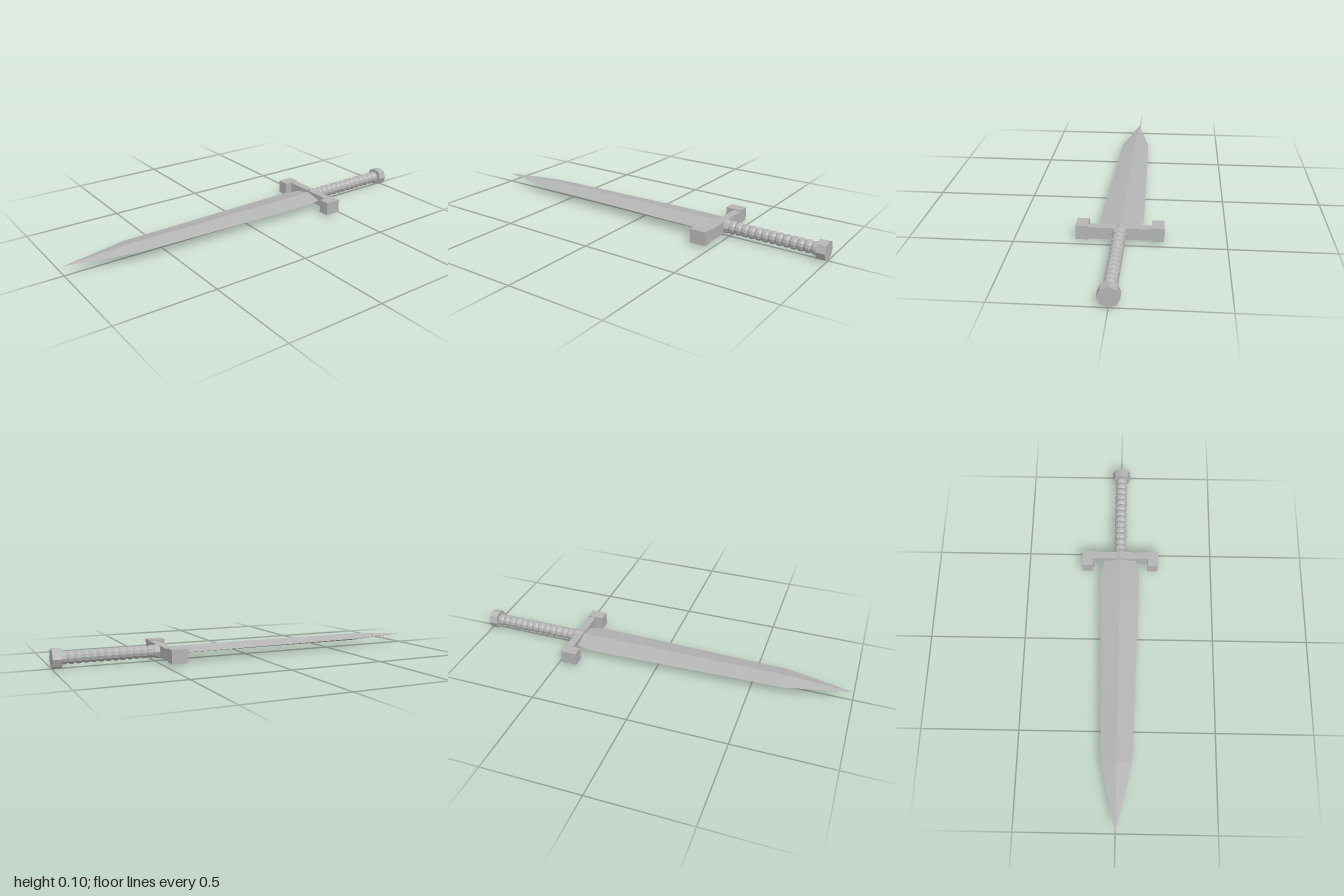
import * as THREE from 'three';

const steel = new THREE.MeshStandardMaterial({ color: 0xb4b4b4, flatShading: true });
steel.name = 'steel';
const CY = 0.049; // height of the long axis

function add(group, name, geometry, x = 0, y = CY, z = 0) {
  const mesh = new THREE.Mesh(geometry, steel);
  mesh.name = name;
  mesh.position.set(x, y, z);
  group.add(mesh);
  return mesh;
}

// Turned part lying along z, profile given as [radius, z]
function turned(profile, sides) {
  const pts = profile.map(([r, z]) => new THREE.Vector2(r, z));
  return new THREE.LatheGeometry(pts, sides).rotateX(Math.PI / 2);
}

// Diamond cross-sections [z, half width, half thickness] joined in a loop
function bladeGeometry(sections) {
  const pos = [];
  const index = [];
  for (const [z, w, t] of sections) pos.push(w, 0, z, 0, t, z, -w, 0, z, 0, -t, z);
  for (let s = 0; s < sections.length - 1; s++) {
    for (let i = 0; i < 4; i++) {
      const a = s * 4 + i, b = s * 4 + (i + 1) % 4;
      index.push(a, b, b + 4, a, b + 4, a + 4);
    }
  }
  index.push(0, 2, 1, 0, 3, 2); // rear cap
  const geo = new THREE.BufferGeometry();
  geo.setAttribute('position', new THREE.Float32BufferAttribute(pos, 3));
  geo.setIndex(index);
  const flat = geo.toNonIndexed();
  flat.computeVertexNormals();
  return flat;
}

export function createModel() {
  const dagger = new THREE.Group();
  dagger.name = 'dagger';

  // Blade with a central ridge
  add(dagger, 'blade', bladeGeometry([
    [-0.46, 0.083, 0.02],
    [-0.44, 0.088, 0.02],
    [-0.36, 0.104, 0.02],
    [-0.2, 0.102, 0.02],
    [0.665, 0.077, 0.019],
    [1, 0.0005, 0.0005],
  ]));

  // Crossguard with forward-turned ends
  add(dagger, 'guardBar', new THREE.BoxGeometry(0.36, 0.058, 0.04), 0, CY, -0.46);
  for (const side of [-1, 1]) {
    add(dagger, side > 0 ? 'leftGuardEnd' : 'rightGuardEnd',
      new THREE.BoxGeometry(0.058, 0.069, 0.083), side * 0.177, CY, -0.4385);
  }

  // Collar between grip and guard
  add(dagger, 'collar', turned(
    [[0, -0.505], [0.03, -0.505], [0.037, -0.485], [0.037, -0.443], [0, -0.443]], 8));

  // Grip with raised rings
  const ridges = 13, start = -0.96, step = (-0.5 - start) / ridges;
  const profile = [];
  for (let i = 0; i < ridges; i++) {
    const z = start + i * step;
    profile.push([0.026, z], [0.032, z + step * 0.3], [0.032, z + step * 0.7]);
  }
  profile.push([0.026, -0.5]);
  add(dagger, 'grip', turned(profile, 12));

  // Octagonal pommel
  add(dagger, 'pommel',
    new THREE.CylinderGeometry(0.049, 0.049, 0.045, 8).rotateX(Math.PI / 2), 0, CY, -0.9775);

  return dagger;
}
